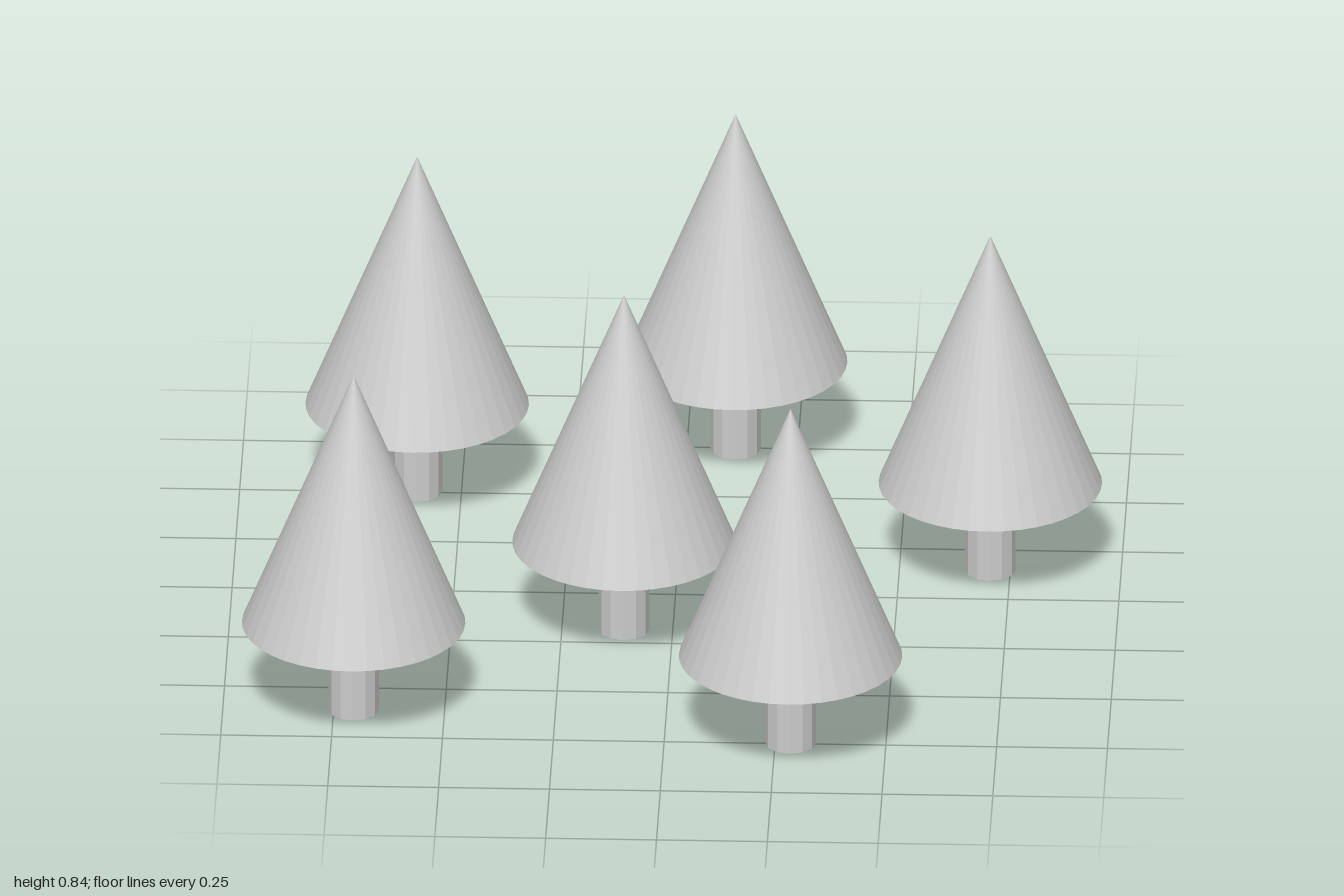
import * as THREE from 'three';

const BASE = 0.22, TOP = 0.84;

// Ground positions (x, z) of the trees
const SPOTS = [
  [-0.705, 0.61], [-0.6, -0.507], [-0.11, 0.18],
  [0.11, -0.748], [0.285, 0.745], [0.705, -0.15],
];

export function createModel() {
  const material = new THREE.MeshStandardMaterial({ color: 0xcccccc, flatShading: true });

  // Shared trunk and foliage shapes, both standing on y = 0
  const trunkShape = new THREE.CylinderGeometry(0.057, 0.057, BASE, 12).translate(0, BASE / 2, 0);
  const foliageShape = new THREE.ConeGeometry(0.252, TOP - BASE, 40).translate(0, (TOP + BASE) / 2, 0);

  const grove = new THREE.Group();
  grove.name = 'grove';

  SPOTS.forEach(([x, z], i) => {
    const tree = new THREE.Group();
    tree.name = `tree${i + 1}`;

    const trunk = new THREE.Mesh(trunkShape, material);
    trunk.name = 'trunk';
    const foliage = new THREE.Mesh(foliageShape, material);
    foliage.name = 'foliage';

    tree.add(trunk, foliage);
    tree.position.set(x, 0, z);
    grove.add(tree);
  });

  return grove;
}
